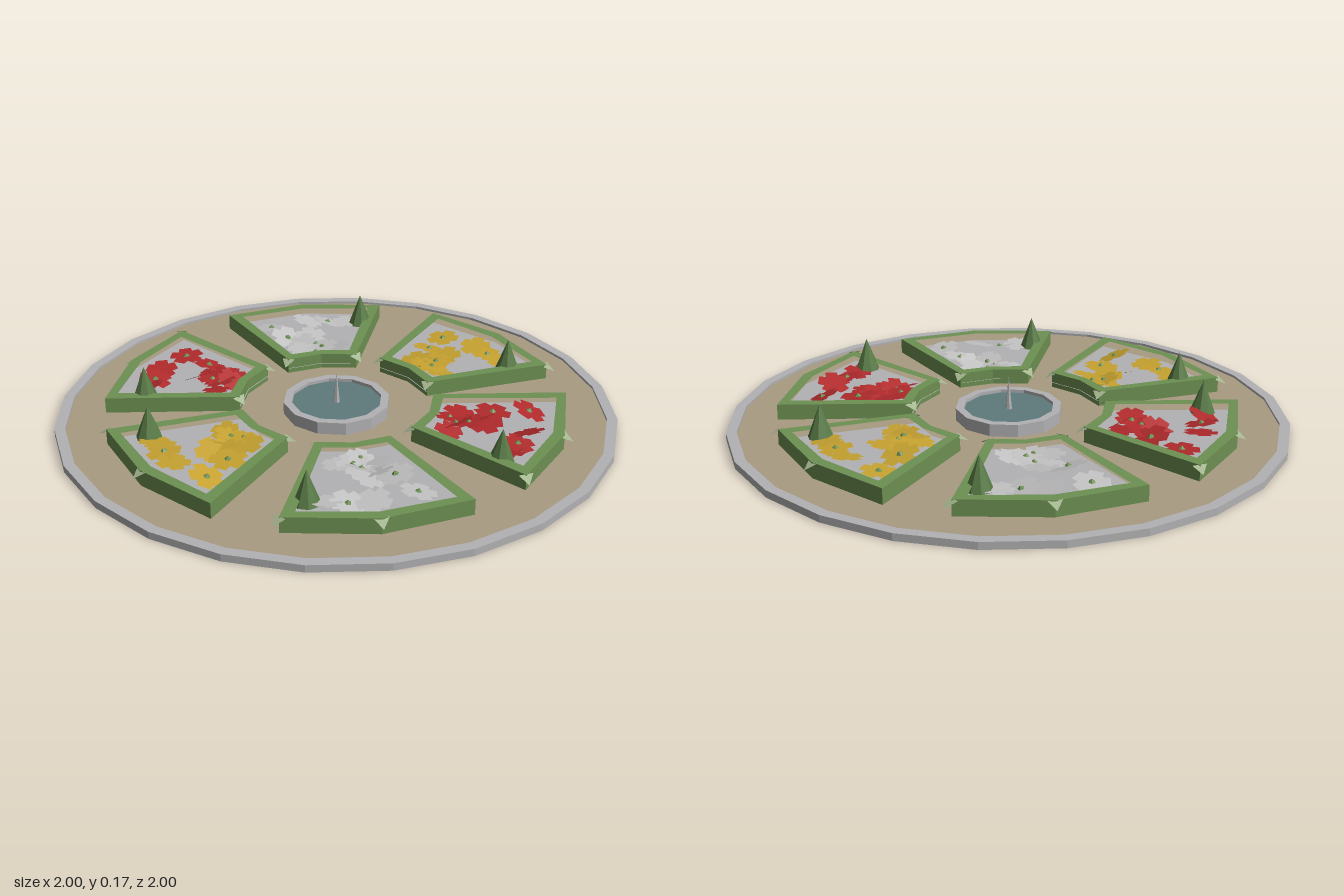
import * as THREE from 'three';

const mat = (name, color, extra = {}) =>
  Object.assign(new THREE.MeshStandardMaterial({ color, flatShading: true, ...extra }), { name });
const two = { side: THREE.DoubleSide };
const M = {
  stone: mat('stone', 0xb2b2b4),
  gravel: mat('gravel', 0xa89b82),
  water: mat('water', 0x5e7a7c),
  hedge: mat('hedge green', 0x6d9052),
  tree: mat('shrub green', 0x587a45),
  leaf: mat('pale leaf', 0xa3b58e, two),
  red: mat('red petals', 0xb02a2c, two),
  yellow: mat('yellow petals', 0xc6a230, two),
  white: mat('white petals', 0xc2c2c2, two),
};

let seed = 7;
const rand = () => (seed = (seed * 16807) % 2147483647) / 2147483647;

function add(parent, name, geometry, material, x = 0, y = 0, z = 0) {
  const mesh = new THREE.Mesh(geometry, material);
  mesh.name = name;
  mesh.position.set(x, y, z);
  parent.add(mesh);
  return mesh;
}

// Stone ring with a rectangular section
const ring = (inner, outer, y0, y1, sides) => new THREE.LatheGeometry(
  [[inner, y0], [outer, y0], [outer, y1], [inner, y1], [inner, y0]].map(p => new THREE.Vector2(...p)), sides);

// Wedge outline, with one bend in each arc
function wedge(r0, r1, a0, a1) {
  const at = (r, deg) => new THREE.Vector2(r * Math.sin(deg * Math.PI / 180), r * Math.cos(deg * Math.PI / 180));
  return [at(r0, -a0), at(r1, -a1), at(r1, 0), at(r1, a1), at(r0, a0), at(r0, 0)];
}
const outerLine = wedge(0.348, 0.828, 22, 22);
const innerLine = wedge(0.382, 0.787, 17, 19);

// Flower outline: five square-ended petals
function flowerGeometry() {
  const pts = [];
  for (let i = 0; i < 5; i++) {
    for (const [r, d] of [[0.062, -21], [0.062, 21], [0.042, 36]]) {
      const a = (i * 72 + d) * Math.PI / 180;
      pts.push(new THREE.Vector2(r * Math.cos(a), r * Math.sin(a)));
    }
  }
  return new THREE.ShapeGeometry(new THREE.Shape(pts)).rotateX(-Math.PI / 2);
}

// Flower places in a bed: x, z, size
const places = [
  [-0.15, -0.67, 1.05], [0.0, -0.70, 1], [0.08, -0.685, 1], [0.15, -0.675, 0.9],
  [-0.10, -0.55, 1.1], [-0.01, -0.55, 1], [0.0, -0.49, 0.95], [-0.06, -0.44, 0.95],
  [0.02, -0.45, 1], [0.075, -0.44, 0.85], [-0.01, -0.42, 0.85], [-0.05, -0.51, 0.9],
];

function makeBed(petals, side) {
  const bed = new THREE.Group();
  // Hedge frame and soil
  const frame = new THREE.Shape(outerLine);
  frame.holes.push(new THREE.Path(innerLine));
  add(bed, 'hedge', new THREE.ExtrudeGeometry(frame, { depth: 0.058, bevelEnabled: false })
    .rotateX(-Math.PI / 2), M.hedge, 0, 0.016, 0);
  add(bed, 'bedGround', new THREE.ShapeGeometry(new THREE.Shape(outerLine.map(p => p.clone().multiplyScalar(0.99))))
    .rotateX(-Math.PI / 2), M.stone, 0, 0.036, 0);

  // Small drooping leaf at the hedge corners
  for (const i of [0, 2, 3, 4]) {
    const p = outerLine[i];
    const dir = new THREE.Vector2(p.x, p.y - 0.56).normalize();
    const g = new THREE.BufferGeometry();
    const tx = -dir.y * 0.025, ty = dir.x * 0.025;
    const c = p.clone().addScaledVector(dir, -0.006), tip = p.clone().addScaledVector(dir, 0.03);
    g.setAttribute('position', new THREE.Float32BufferAttribute([
      c.x + tx, 0.075, -c.y - ty, c.x - tx, 0.072, -c.y + ty, tip.x, 0.052, -tip.y], 3));
    g.computeVertexNormals();
    add(bed, 'cornerLeaf', g, M.leaf);
  }

  // Tilted flowers with green centres
  const petalShape = flowerGeometry();
  places.forEach(([x, z, s], i) => {
    const flower = new THREE.Group();
    flower.name = 'flower';
    add(flower, 'petals', petalShape, petals);
    if (i % 2 === 0) add(flower, 'flowerCentre', new THREE.ConeGeometry(0.013, 0.012, 5), M.hedge, 0, 0.005, 0);
    flower.position.set(x * side, 0.05 + 0.012 * rand(), z);
    flower.rotation.set((rand() - 0.5) * 0.7, rand() * 6.28, (rand() - 0.5) * 0.7, 'XYZ');
    flower.scale.setScalar(s);
    bed.add(flower);
  });

  // Pointed shrub
  add(bed, 'shrub', new THREE.ConeGeometry(0.046, 0.12, 8), M.tree, 0.208 * side, 0.11, -0.66);
  return bed;
}

export function createModel() {
  const model = new THREE.Group();
  model.name = 'roundGarden';

  // Ground and curb
  add(model, 'curb', ring(0.963, 1, 0, 0.026, 24), M.stone);
  add(model, 'gravelGround', new THREE.CylinderGeometry(0.965, 0.965, 0.01, 24), M.gravel, 0, 0.012, 0);

  // Fountain
  const fountain = new THREE.Group();
  fountain.name = 'fountain';
  add(fountain, 'basinRim', ring(0.163, 0.192, 0.015, 0.062, 12), M.stone);
  add(fountain, 'water', new THREE.CylinderGeometry(0.166, 0.166, 0.03, 12), M.water, 0, 0.035, 0);
  add(fountain, 'spout', new THREE.ConeGeometry(0.013, 0.125, 6), M.stone, 0, 0.108, 0);
  model.add(fountain);

  // Six beds around the fountain; one is mirrored
  const colours = [M.yellow, M.red, M.white];
  for (let i = 0; i < 6; i++) {
    const bed = makeBed(colours[i % 3], i === 4 ? -1 : 1);
    bed.name = 'flowerBed';
    bed.rotation.y = -i * Math.PI / 3;
    model.add(bed);
  }
  return model;
}
